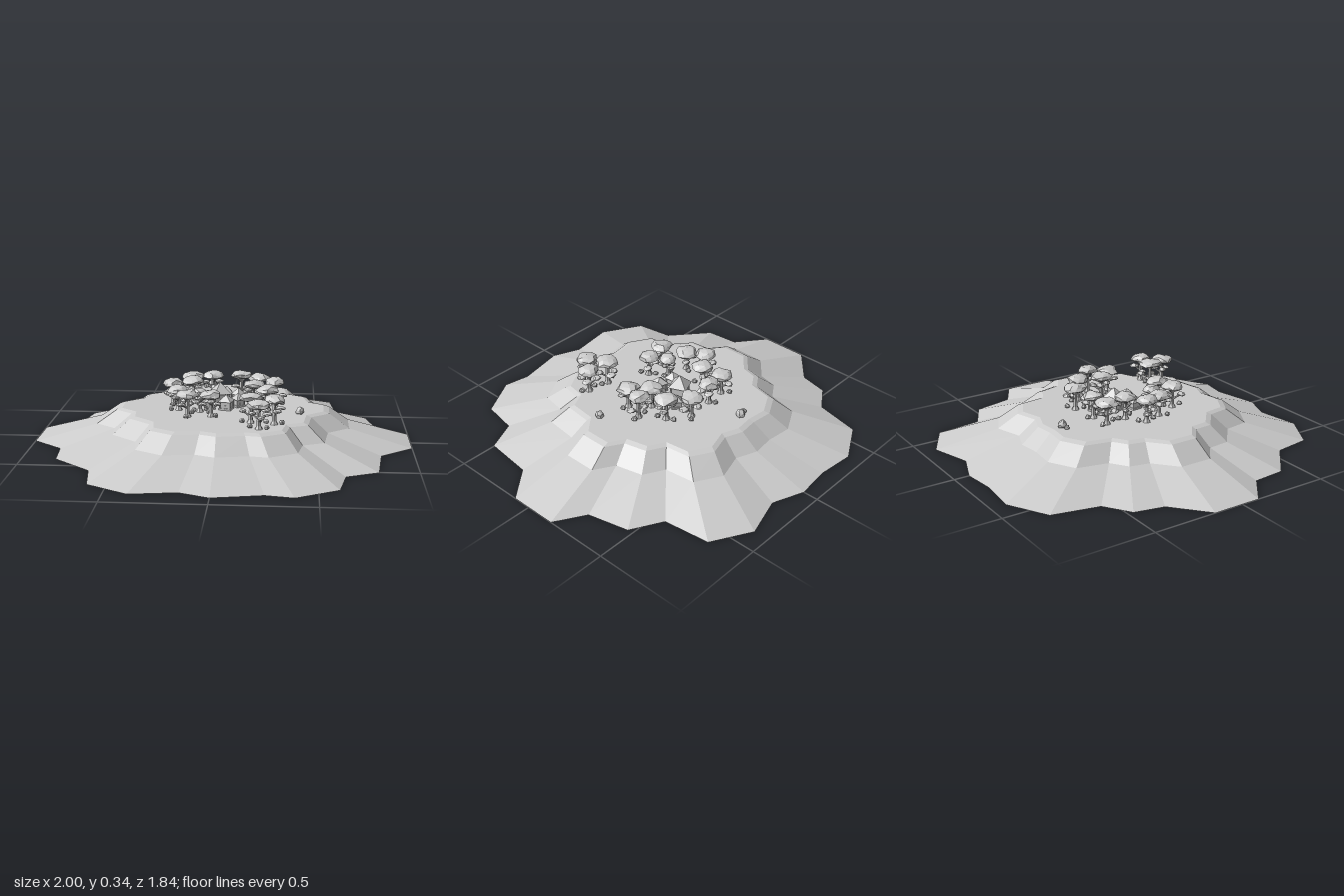
import * as THREE from 'three';
import { mergeVertices } from 'three/addons/utils/BufferGeometryUtils.js';

const GROUND = 0.18;
const material = new THREE.MeshStandardMaterial({ color: 0xcccccc, flatShading: true });
const landMaterial = new THREE.MeshStandardMaterial({ color: 0xcccccc, flatShading: true, side: THREE.DoubleSide });

// small seeded generator for repeatable irregularity
let seed = 7;
const rand = (a = 0, b = 1) => {
  seed = (seed * 16807) % 2147483647;
  return a + (b - a) * (seed / 2147483647);
};

function add(parent, name, geometry, x = 0, y = 0, z = 0) {
  const mesh = new THREE.Mesh(geometry, material);
  mesh.name = name;
  mesh.position.set(x, y, z);
  parent.add(mesh);
  return mesh;
}

// faceted lump: an icosahedron whose corners move in and out
function lump(r, height, detail = 1) {
  let g = new THREE.IcosahedronGeometry(1, detail);
  g.deleteAttribute('normal');
  g.deleteAttribute('uv');
  g = mergeVertices(g, 1e-3);
  const p = g.attributes.position;
  for (let i = 0; i < p.count; i++) {
    const k = rand(0.84, 1.12);
    const y = p.getY(i);
    // flatter underside, domed top
    p.setXYZ(i, p.getX(i) * k * r, y * k * height * (y < 0 ? 0.35 : 0.65), p.getZ(i) * k * r);
  }
  g = g.toNonIndexed();
  g.computeVertexNormals();
  return g;
}

// tapered stick between two points
function stick(parent, name, from, to, r0, r1) {
  const a = new THREE.Vector3(...from), b = new THREE.Vector3(...to);
  const dir = b.clone().sub(a);
  const mesh = add(parent, name, new THREE.CylinderGeometry(r1, r0, dir.length(), 6));
  mesh.position.copy(a).lerp(b, 0.5);
  mesh.quaternion.setFromUnitVectors(new THREE.Vector3(0, 1, 0), dir.normalize());
}

// island outline at the waterline, going round from the back left
const outline = [
  [-0.385, -0.92], [-0.18, -0.9], [0, -0.92], [0.17, -0.855], [0.39, -0.92], [0.595, -0.805],
  [0.625, -0.56], [0.79, -0.47], [0.84, -0.255], [1, -0.16], [1, 0.1], [0.83, 0.24],
  [0.8, 0.505], [0.635, 0.58], [0.6, 0.77], [0.39, 0.89], [0.25, 0.865], [0, 0.915],
  [-0.15, 0.855], [-0.385, 0.89], [-0.595, 0.77], [-0.625, 0.57], [-0.825, 0.4], [-0.84, 0.225],
  [-1, 0.1], [-1, -0.16], [-0.82, -0.315], [-0.785, -0.47], [-0.65, -0.56], [-0.595, -0.805],
];

// open shell: the outline scaled into rings that climb to a flat top
function islandGeometry() {
  const rings = [[1, 0], [0.67, 0.095], [0.565, 0.17], [0.535, GROUND], [0, GROUND]];
  const n = outline.length, pos = [], index = [];
  for (const [s, y] of rings) for (const [x, z] of outline) pos.push(x * s, y, z * s);
  for (let r = 0; r < rings.length - 1; r++) {
    for (let i = 0; i < n; i++) {
      const a = r * n + i, b = r * n + (i + 1) % n;
      index.push(a, a + n, b);
      if (r < rings.length - 2) index.push(b, a + n, b + n);
    }
  }
  const g = new THREE.BufferGeometry();
  g.setAttribute('position', new THREE.Float32BufferAttribute(pos, 3));
  g.setIndex(index);
  g.computeVertexNormals();
  return g;
}

// flat-topped tree with a trunk, root flare, side branches and low shrubs
function tree(x, z, r, top) {
  const g = new THREE.Group();
  g.name = 'tree';
  g.position.set(x, GROUND, z);
  const h = top - GROUND, crownY = h - 0.03;
  stick(g, 'trunk', [0, -0.003, 0], [0, crownY, 0], 0.013, 0.009);
  add(g, 'rootFlare', new THREE.CylinderGeometry(0.012, 0.022, 0.02, 6), 0, 0.008, 0);
  add(g, 'crown', lump(r, 0.046), 0, crownY, 0);
  const start = rand(0, 6.28);
  for (let i = 0; i < 3; i++) {
    const t = start + i * 2.09 + rand(-0.3, 0.3), c = Math.cos(t), s = Math.sin(t);
    const d = r * rand(0.6, 0.85), y = rand(0.055, 0.085);
    stick(g, 'branch', [0, y - 0.025, 0], [c * d, y, s * d], 0.006, 0.004);
    add(g, 'sideFoliage', lump(rand(0.02, 0.028), 0.022, 0), c * d, y, s * d);
    stick(g, 'crownBranch', [0, crownY - 0.035, 0], [c * r * 0.6, crownY, s * r * 0.6], 0.006, 0.004);
  }
  for (let i = 0; i < 2; i++) {
    const t = start + 1 + i * 2.8;
    add(g, 'shrub', lump(0.016, 0.026, 0), Math.cos(t) * r * 0.75, 0.012, Math.sin(t) * r * 0.75);
  }
  return g;
}

// square hut with a plinth, corner posts and a pyramid roof
function hut(x, z, w, wall, roof, turn) {
  const g = new THREE.Group();
  g.name = 'hut';
  g.position.set(x, GROUND, z);
  g.rotation.y = turn;
  add(g, 'plinth', new THREE.BoxGeometry(w * 1.2, 0.012, w * 1.2), 0, 0.004, 0);
  add(g, 'walls', new THREE.BoxGeometry(w, wall, w), 0, wall / 2, 0);
  for (const sx of [-1, 1]) for (const sz of [-1, 1]) {
    add(g, 'cornerPost', new THREE.BoxGeometry(0.008, wall, 0.008), sx * w / 2, wall / 2, sz * w / 2);
  }
  add(g, 'door', new THREE.BoxGeometry(w * 0.3, wall * 0.55, 0.006), 0, wall * 0.3, w / 2);
  add(g, 'roof', new THREE.ConeGeometry(w * 0.92, roof, 4).rotateY(Math.PI / 4), 0, wall + roof / 2, 0);
  return g;
}

export function createModel() {
  seed = 7;
  const model = new THREE.Group();
  model.name = 'islandVillage';

  const island = new THREE.Mesh(islandGeometry(), landMaterial);
  island.name = 'island';
  model.add(island);

  // x, z, crown radius, top height
  const trees = [
    [-0.18, -0.22, 0.06, 0.32], [-0.07, -0.23, 0.055, 0.325], [0.085, -0.245, 0.06, 0.325],
    [0.19, -0.165, 0.06, 0.33], [-0.17, -0.1, 0.06, 0.325], [-0.27, -0.035, 0.058, 0.325],
    [-0.23, 0.07, 0.062, 0.315], [-0.115, 0.1, 0.045, 0.31], [-0.17, 0.2, 0.06, 0.325],
    [-0.05, 0.185, 0.055, 0.32], [0.16, -0.035, 0.06, 0.325], [0.275, -0.05, 0.055, 0.335],
    [0.24, 0.055, 0.06, 0.32], [0.16, 0.29, 0.06, 0.34], [0.28, 0.31, 0.055, 0.335],
    [0.205, 0.4, 0.06, 0.33],
  ];
  for (const t of trees) model.add(tree(...t));

  // x, z, width, wall height, roof height, turn
  const huts = [
    [-0.02, -0.07, 0.075, 0.06, 0.06, 0.4], [-0.07, 0.025, 0.05, 0.04, 0.035, 0.1],
    [0.02, 0.04, 0.055, 0.045, 0.035, -0.25], [0.08, -0.02, 0.045, 0.04, 0.035, 0.7],
    [0.075, -0.13, 0.045, 0.04, 0.035, 0.9], [0.01, -0.17, 0.045, 0.04, 0.035, 0.2],
  ];
  for (const h of huts) model.add(hut(...h));

  // loose rocks away from the grove: x, z, radius
  for (const [x, z, r] of [[-0.09, -0.43, 0.024], [-0.125, -0.425, 0.014], [0.41, 0.1, 0.022]]) {
    add(model, 'rock', lump(r, r * 1.9), x, GROUND + r * 0.4, z);
  }
  return model;
}
